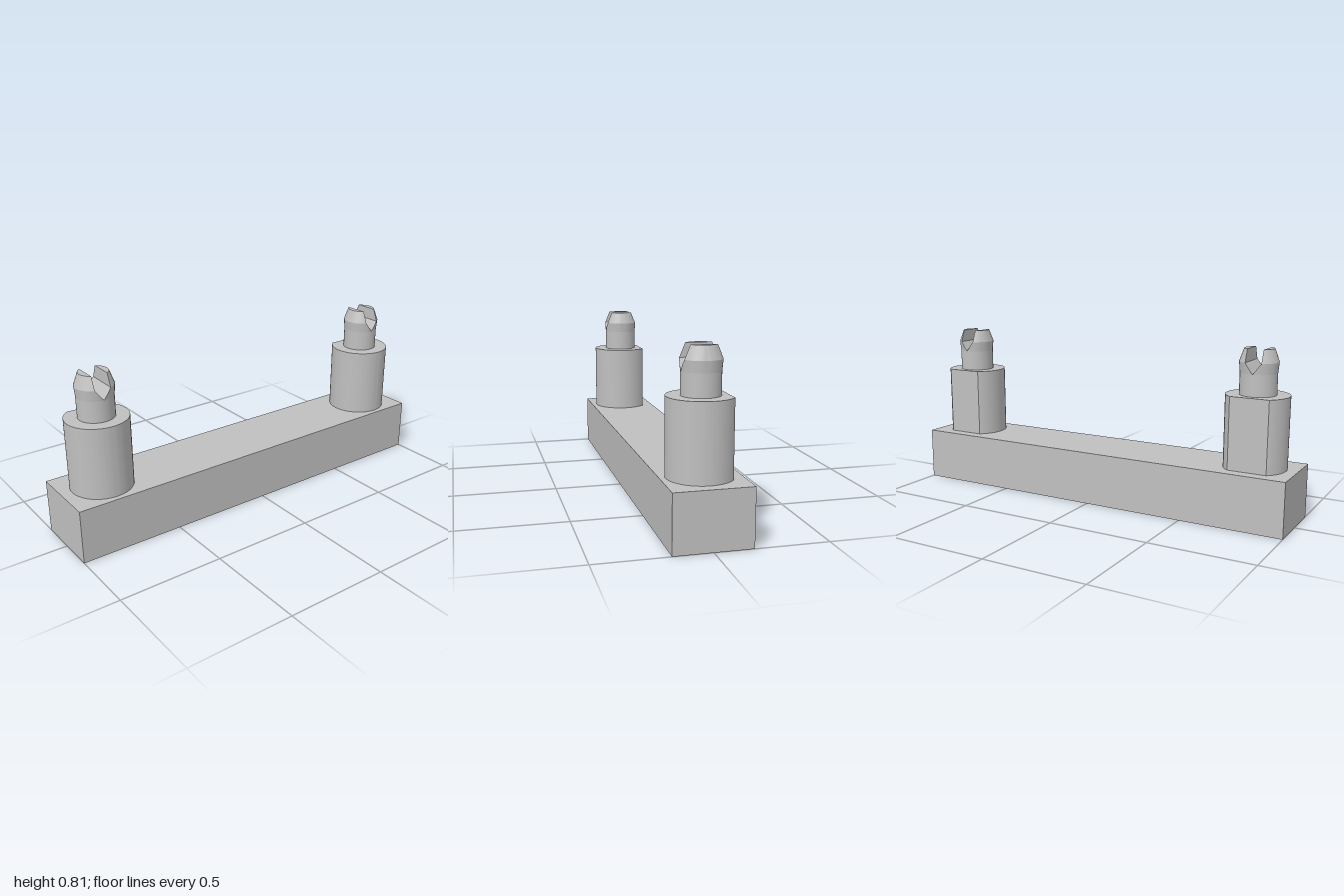
import * as THREE from 'three';
import { toCreasedNormals } from 'three/addons/utils/BufferGeometryUtils.js';

const BAR_TOP = 0.26, POST_TOP = 0.6, NOTCH = 0.7, SHOULDER = 0.75, TIP = 0.81;
const POST_R = 0.147, PIN_R = 0.085;

// Round post with a flat cut along its back
function postGeometry() {
  const b = Math.asin(0.115 / POST_R);
  const shape = new THREE.Shape();
  shape.absarc(0, 0, POST_R, Math.PI - b, 2 * Math.PI + b, false);
  shape.closePath();
  const geo = new THREE.ExtrudeGeometry(shape, {
    depth: POST_TOP - BAR_TOP, bevelEnabled: false, curveSegments: 48,
  });
  geo.rotateX(-Math.PI / 2);
  geo.translate(0, BAR_TOP, 0);
  return toCreasedNormals(geo, 0.5);
}

// One half of the split tip: circle segments [height, radius, slot half-width], lofted
function prongGeometry() {
  const N = 24;
  const rings = [
    [NOTCH, PIN_R, 0],
    [0.7125, 0.0862, 0.0094],
    [0.725, 0.0873, 0.0188],
    [0.7375, 0.0885, 0.0281],
    [SHOULDER, 0.0897, 0.0375],
    [0.78, 0.0788, 0.0375],
    [TIP, 0.068, 0.0375],
  ].map(([y, r, h]) => {
    const a = Math.acos(h / r);
    return Array.from({ length: N + 1 }, (_, i) => {
      const t = -a + (2 * a * i) / N;
      return [r * Math.cos(t), y, r * Math.sin(t)];
    });
  });
  const pos = [];
  const tri = (...pts) => pts.forEach((p) => pos.push(...p));
  for (let k = 0; k < rings.length - 1; k++) {
    const lo = rings[k], up = rings[k + 1];
    for (let i = 0; i <= N; i++) {
      const j = (i + 1) % (N + 1); // the last step closes the slot face
      tri(lo[i], up[i], lo[j]);
      tri(lo[j], up[i], up[j]);
    }
  }
  const top = rings[rings.length - 1];
  for (let i = 1; i < N; i++) tri(top[0], top[i + 1], top[i]);
  const geo = new THREE.BufferGeometry();
  geo.setAttribute('position', new THREE.Float32BufferAttribute(pos, 3));
  return toCreasedNormals(geo, 0.35);
}

export function createModel() {
  const grey = new THREE.MeshStandardMaterial({ color: 0xc0c0c0 });
  grey.name = 'plain grey';
  const model = new THREE.Group();
  model.name = 'spacerBar';
  const add = (parent, name, geo) => {
    const mesh = new THREE.Mesh(geo, grey);
    mesh.name = name;
    parent.add(mesh);
    return mesh;
  };

  // Base bar
  add(model, 'baseBar', new THREE.BoxGeometry(2, BAR_TOP, 0.345)).position.y = BAR_TOP / 2;

  // Two identical posts with split snap pins
  const post = postGeometry();
  const prong = prongGeometry();
  const shaft = new THREE.CylinderGeometry(PIN_R, PIN_R, NOTCH - POST_TOP, 48);
  for (const [name, x] of [['leftPeg', 0.802], ['rightPeg', -0.802]]) {
    const peg = new THREE.Group();
    peg.name = name;
    peg.position.x = x;
    add(peg, 'post', post);
    add(peg, 'pinShaft', shaft).position.y = (POST_TOP + NOTCH) / 2;
    add(peg, 'leftProng', prong);
    add(peg, 'rightProng', prong).rotation.y = Math.PI;
    model.add(peg);
  }
  return model;
}
